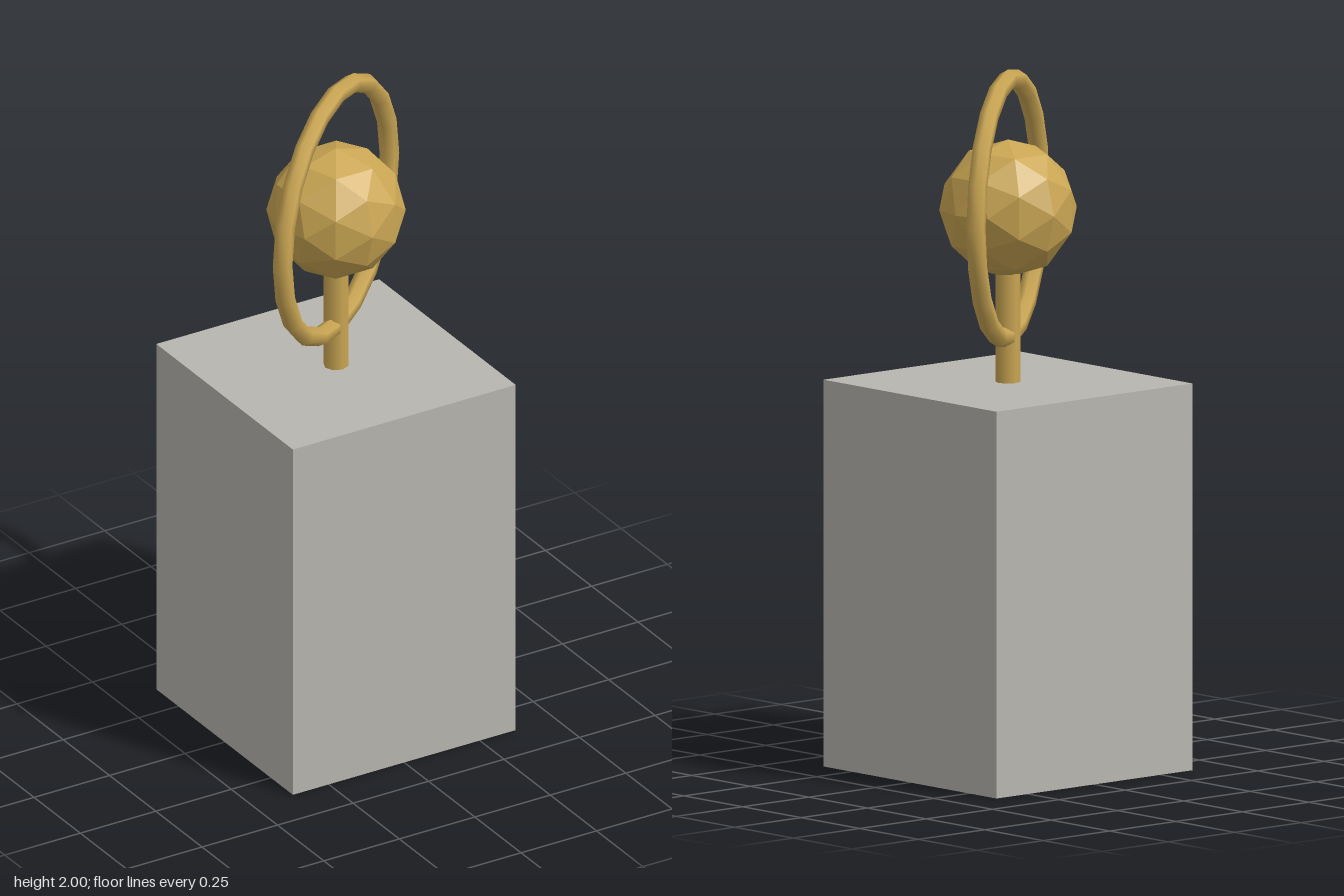
import * as THREE from 'three';

export function createModel() {
  const model = new THREE.Group();
  const stone = new THREE.MeshStandardMaterial({ color: 0xb8b6b0 });
  stone.name = 'grey stone';
  const gold = new THREE.MeshStandardMaterial({ color: 0xcaa653 });
  gold.name = 'gold';

  const add = (name, geometry, material, y) => {
    const mesh = new THREE.Mesh(geometry, material);
    mesh.name = name;
    mesh.position.y = y;
    model.add(mesh);
    return mesh;
  };

  const plinthTop = 1.107, orbY = 1.603;

  // Square plinth
  add('plinth', new THREE.BoxGeometry(0.738, plinthTop, 0.738), stone, plinthTop / 2);

  // Thin stem, ending inside the orb
  const stemHeight = 0.37;
  add('stem', new THREE.CylinderGeometry(0.036, 0.036, stemHeight, 8), gold, plinthTop + stemHeight / 2);

  // Faceted orb (polyhedra with detail need flat normals)
  const orb = new THREE.IcosahedronGeometry(0.197, 1);
  orb.computeVertexNormals();
  add('orb', orb, gold, orbY);

  // Upright ring, turned about the stem
  const ring = add('ring', new THREE.TorusGeometry(0.369, 0.028, 6, 20), gold, orbY);
  ring.rotation.y = 0.6;

  return model;
}
